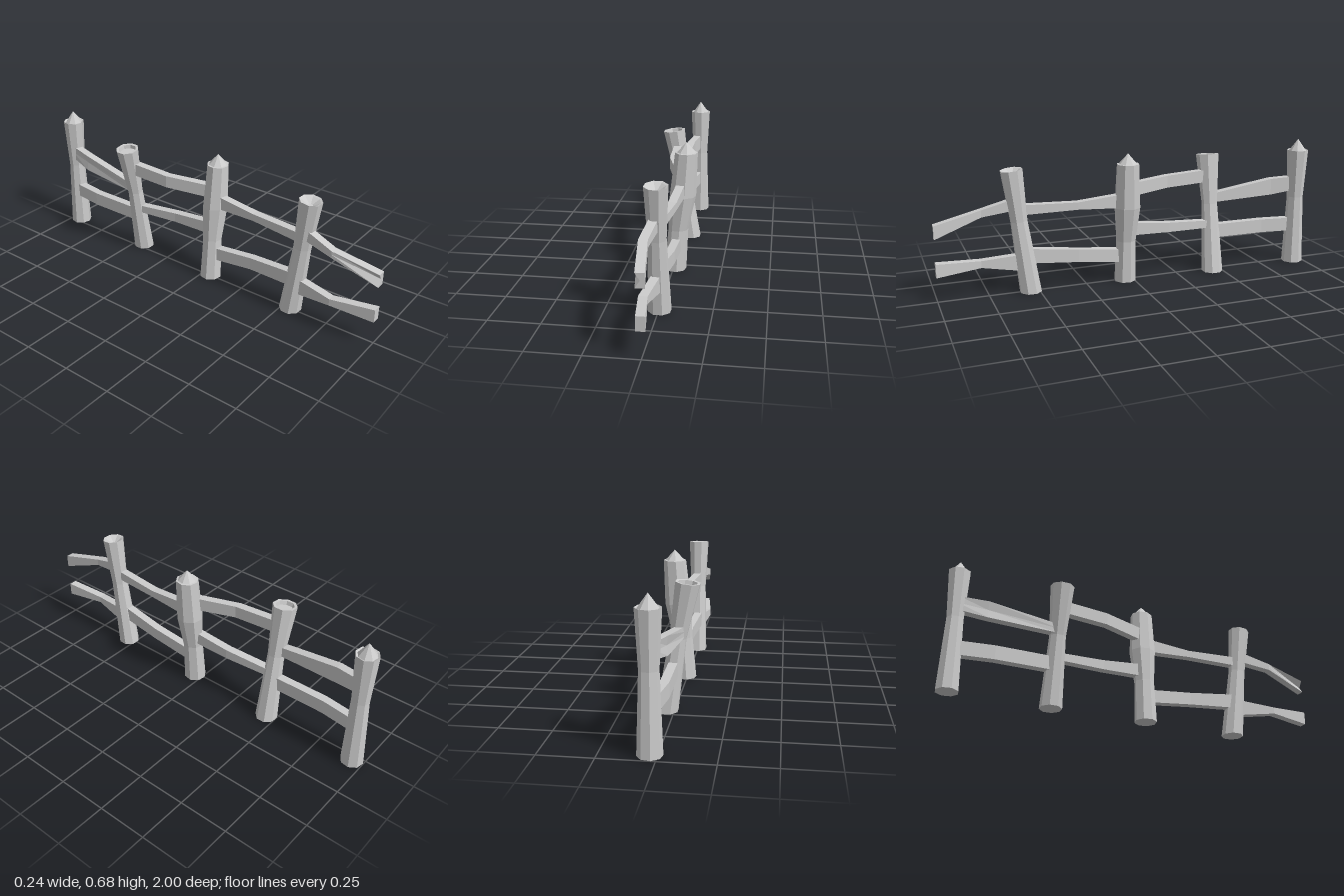
import * as THREE from 'three';

const material = new THREE.MeshStandardMaterial({ color: 0xcccccc, flatShading: true });

// Skin a row of equal-length cross-sections and close both ends
function loft(name, sections) {
  const pos = [];
  const tri = (...pts) => pts.forEach(p => pos.push(p.x, p.y, p.z));
  const n = sections[0].length;
  for (let i = 0; i + 1 < sections.length; i++) {
    for (let j = 0; j < n; j++) {
      const k = (j + 1) % n;
      const [a, b, c, d] = [sections[i][j], sections[i][k], sections[i + 1][k], sections[i + 1][j]];
      tri(a, b, c);
      tri(a, c, d);
    }
  }
  const cap = (s, flip) => {
    const m = s.reduce((t, p) => t.add(p), new THREE.Vector3()).divideScalar(n);
    s.forEach((p, j) => {
      const q = s[(j + 1) % n];
      flip ? tri(m, q, p) : tri(m, p, q);
    });
  };
  cap(sections[0], true);
  cap(sections[sections.length - 1], false);
  const geo = new THREE.BufferGeometry();
  geo.setAttribute('position', new THREE.Float32BufferAttribute(pos, 3));
  geo.computeVertexNormals();
  const mesh = new THREE.Mesh(geo, material);
  mesh.name = name;
  return mesh;
}

// Octagonal ring; tiltX and tiltZ slope it along x and z
function ring([x, y, z, r], turn, tiltX, tiltZ) {
  return Array.from({ length: 8 }, (_, i) => {
    const a = turn + (i * Math.PI) / 4;
    const dx = r * Math.cos(a), dz = -r * Math.sin(a);
    return new THREE.Vector3(x + dx, y + dx * tiltX + dz * tiltZ, z + dz);
  });
}

// Post from rings [x, y, z, radius]; the foot stays level
function post(name, rings, turn, tiltX = 0, tiltZ = 0) {
  return loft(name, rings.map((r, i) => ring(r, turn, i ? tiltX : 0, i ? tiltZ : 0)));
}

// Rail from stations [z, x, yLow, yHigh, split], running front to back
function rail(name, stations) {
  const w = 0.021;
  return loft(name, stations.map(([z, x, lo, hi, split = 0]) => [
    [x + w, lo], [x - w, lo], [x - w + split, (lo + hi) / 2], [x - w, hi], [x + w, hi],
  ].map(([px, py]) => new THREE.Vector3(px, py, z))));
}

export function createModel() {
  const group = new THREE.Group();
  group.name = 'fence';

  // Posts: two with hollowed tops, two with pointed tops
  group.add(
    post('frontPost', [
      [0.005, 0, 0.543, 0.056], [0.003, 0.37, 0.59, 0.043], [0.003, 0.626, 0.618, 0.056],
      [0.003, 0.622, 0.618, 0.046], [0.003, 0.6, 0.616, 0.012],
    ], 0.35, 0, -0.1),
    post('middlePost', [
      [0.01, 0, 0.043, 0.057], [0.025, 0.22, 0.043, 0.051], [0.048, 0.4, 0.043, 0.067],
      [0.065, 0.625, 0.045, 0.057], [0.065, 0.626, 0.045, 0.047], [0.065, 0.677, 0.045, 0.001],
    ], 0.2),
    post('leaningPost', [
      [0.035, 0, -0.448, 0.056], [-0.018, 0.36, -0.448, 0.041], [-0.064, 0.62, -0.45, 0.06],
      [-0.064, 0.619, -0.45, 0.046], [-0.061, 0.6, -0.45, 0.042],
    ], 0.39, 0.12, 0),
    post('backPost', [
      [0.032, 0, -0.944, 0.056], [0.032, 0.37, -0.943, 0.043], [0.032, 0.627, -0.945, 0.056],
      [0.032, 0.622, -0.945, 0.046], [0.032, 0.684, -0.945, 0.001],
    ], 0.2),
  );

  // Rails, upper then lower in each bay
  group.add(
    rail('frontUpperRail', [[1, -0.002, 0.318, 0.385, 0.024], [0.77, -0.028, 0.4, 0.435], [0.59, 0, 0.43, 0.49]]),
    rail('frontLowerRail', [[1, -0.002, 0.128, 0.196], [0.78, -0.03, 0.145, 0.18], [0.58, 0, 0.115, 0.2]]),
    rail('secondUpperRail', [[0.59, 0, 0.4, 0.45], [0.3, 0.03, 0.41, 0.447], [0.06, 0.042, 0.4, 0.472]]),
    rail('secondLowerRail', [[0.56, -0.005, 0.15, 0.225], [0.3, 0.02, 0.135, 0.2], [0.06, 0.02, 0.107, 0.175]]),
    rail('thirdUpperRail', [[0.02, 0.03, 0.453, 0.52], [-0.2, -0.032, 0.467, 0.53], [-0.44, -0.04, 0.478, 0.543]]),
    rail('thirdLowerRail', [[0.02, 0.025, 0.247, 0.312], [-0.19, 0.024, 0.243, 0.293], [-0.44, 0, 0.236, 0.275]]),
    rail('backUpperRail', [[-0.45, -0.03, 0.365, 0.412], [-0.8, -0.005, 0.385, 0.472, 0.008], [-0.94, 0.025, 0.41, 0.483]]),
    rail('backLowerRail', [[-0.45, 0, 0.178, 0.25], [-0.75, 0, 0.178, 0.25], [-0.94, 0.025, 0.178, 0.25]]),
  );
  return group;
}
